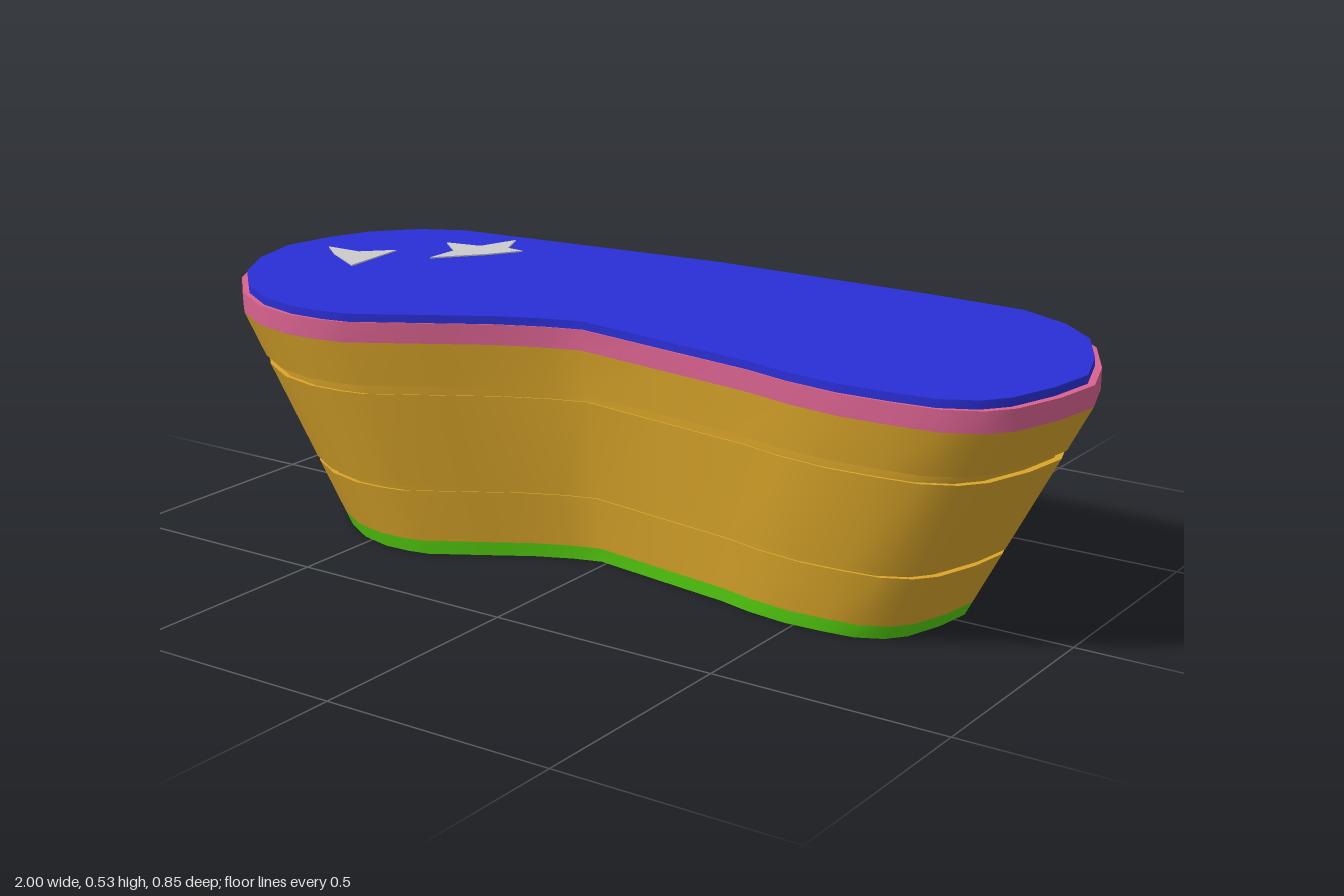
import * as THREE from 'three';
import { toCreasedNormals } from 'three/addons/utils/BufferGeometryUtils.js';

// Kidney outline at the rim as [x, z], counter-clockwise seen from above
const OUTLINE = [
  [-1, 0], [-0.98, -0.12], [-0.94, -0.22], [-0.86, -0.31], [-0.76, -0.36], [-0.6, -0.375],
  [-0.34, -0.4], [-0.08, -0.425], [0.2, -0.425], [0.47, -0.425], [0.68, -0.415], [0.8, -0.36],
  [0.89, -0.28], [0.96, -0.15], [1, -0.03], [0.985, 0.08], [0.95, 0.19], [0.91, 0.24],
  [0.84, 0.275], [0.75, 0.285], [0.64, 0.29], [0.52, 0.275], [0.42, 0.25], [0.2, 0.218],
  [-0.02, 0.185], [-0.1, 0.21], [-0.2, 0.255], [-0.3, 0.315], [-0.46, 0.41], [-0.52, 0.422],
  [-0.6, 0.425], [-0.7, 0.4], [-0.8, 0.34], [-0.9, 0.24], [-0.965, 0.13],
].reverse();

const RIM_Y = 0.47;
const taper = (y) => 0.75 + 0.25 * (y / RIM_Y);

// Outline scaled by s and slightly shifted back as it shrinks
const ring = (s) => OUTLINE.map(([x, z]) => [x * s, z * s - 0.05 * (1 - s)]);

function mesh(name, geometry, color) {
  const m = new THREE.Mesh(geometry, new THREE.MeshStandardMaterial({ color }));
  m.name = name;
  return m;
}

// Loft through [y, scale] sections, with optional flat ends
function loft(sections, { top = false, bottom = false } = {}) {
  const n = OUTLINE.length;
  const pos = [];
  const idx = [];
  for (const [y, s] of sections) for (const [x, z] of ring(s)) pos.push(x, y, z);
  for (let k = 0; k < sections.length - 1; k++) {
    for (let i = 0; i < n; i++) {
      const a = k * n + i;
      const b = k * n + ((i + 1) % n);
      idx.push(a, b, b + n, a, b + n, a + n);
    }
  }
  const faces = THREE.ShapeUtils.triangulateShape(OUTLINE.map(([x, z]) => new THREE.Vector2(x, -z)), []);
  const last = (sections.length - 1) * n;
  for (const [a, b, c] of faces) {
    if (top) idx.push(last + a, last + b, last + c);
    if (bottom) idx.push(a, c, b);
  }
  const g = new THREE.BufferGeometry();
  g.setAttribute('position', new THREE.Float32BufferAttribute(pos, 3));
  g.setIndex(idx);
  return toCreasedNormals(g, 0.6);
}

// Thin raised star lying on the lid, given as [x, z] corners
function star(points) {
  const shape = new THREE.Shape(points.map(([x, z]) => new THREE.Vector2(x, -z)));
  const g = new THREE.ExtrudeGeometry(shape, { depth: 0.006, bevelEnabled: false });
  return g.rotateX(-Math.PI / 2).translate(0, 0.527, 0);
}

export function createModel() {
  const group = new THREE.Group();
  group.name = 'kidneyTub';

  // Base: floor and coloured foot band
  group.add(mesh('floor', loft([[0, 0.749], [0.002, 0.75]], { bottom: true }), 0xd9628f));
  group.add(mesh('footBand', loft([[0, taper(0)], [0.03, taper(0.03)]]), 0x55d010));

  // Flared wall with two narrow grooves running round it
  const wall = [[0.03, taper(0.03)]];
  for (const [lo, hi] of [[0.144, 0.154], [0.358, 0.376]]) {
    const inner = taper(lo) - 0.015;
    wall.push([lo, taper(lo)], [lo, inner], [hi, inner + 0.005], [hi, taper(hi)]);
  }
  wall.push([RIM_Y, taper(RIM_Y)]);
  group.add(mesh('wall', loft(wall), 0xd9a52a));

  // Upright rim and the lid set slightly inside it
  group.add(mesh('rim', loft([[RIM_Y, 1], [0.513, 1]], { top: true }), 0xd9628f));
  group.add(mesh('lid', loft([[0.513, 0.985], [0.53, 0.985]], { top: true }), 0x2a2fd6));

  // Two irregular star ornaments on the lid
  group.add(mesh('largeStar', star([
    [-0.58, -0.33], [-0.545, -0.255], [-0.5, -0.25], [-0.545, -0.18],
    [-0.63, -0.08], [-0.63, -0.165], [-0.695, -0.22], [-0.61, -0.235],
  ]), 0xcccccc));
  group.add(mesh('smallStar', star([
    [-0.89, -0.035], [-0.8, -0.035], [-0.74, -0.095], [-0.725, 0.075], [-0.835, 0.01],
  ]), 0xcccccc));

  return group;
}
